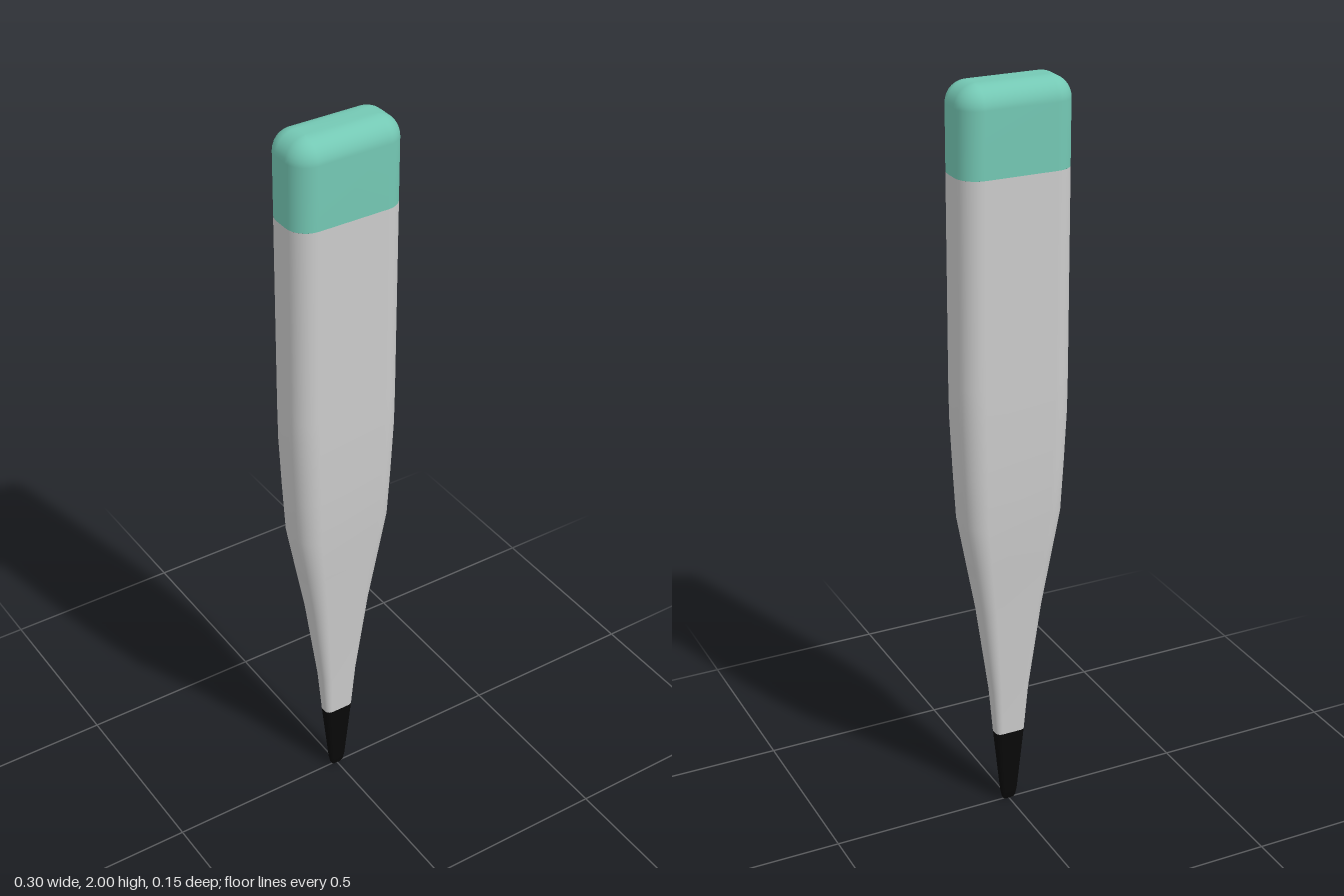
import * as THREE from 'three';

const CORNER_STEPS = 8;

// Rounded-rectangle ring at height y with half width w, half depth d, corner radius r
function ring(y, w, d, r) {
  const points = [];
  for (let q = 0; q < 4; q++) {
    const sx = q === 0 || q === 3 ? 1 : -1;
    const sz = q < 2 ? 1 : -1;
    for (let i = 0; i <= CORNER_STEPS; i++) {
      const a = (q + i / CORNER_STEPS) * Math.PI / 2;
      points.push(sx * (w - r) + r * Math.cos(a), y, sz * (d - r) + r * Math.sin(a));
    }
  }
  return points;
}

// Skin a list of sections, ordered from bottom to top
function loft(name, color, sections) {
  const n = 4 * (CORNER_STEPS + 1);
  const index = [];
  for (let s = 0; s < sections.length - 1; s++) {
    for (let j = 0; j < n; j++) {
      const a = s * n + j, b = s * n + (j + 1) % n;
      index.push(a, a + n, b, b, a + n, b + n);
    }
  }
  const geometry = new THREE.BufferGeometry();
  const positions = sections.flatMap(([y, w, d, r = d * 0.74]) => ring(y, w, d, r));
  geometry.setAttribute('position', new THREE.Float32BufferAttribute(positions, 3));
  geometry.setIndex(index);
  geometry.computeVertexNormals();
  const mesh = new THREE.Mesh(geometry, new THREE.MeshStandardMaterial({ color }));
  mesh.name = name;
  return mesh;
}

export function createModel() {
  const group = new THREE.Group();
  group.name = 'thermometer';

  // Dark sensing tip, closed at the bottom
  group.add(loft('sensorTip', 0x080808, [
    [0, 0, 0], [0, 0.014, 0.004], [0.008, 0.019, 0.007], [0.03, 0.023, 0.011],
    [0.1, 0.03, 0.015], [0.22, 0.042, 0.021],
  ]));

  // Tapered grey body
  group.add(loft('body', 0xcccccc, [
    [0.22, 0.042, 0.021], [0.35, 0.053, 0.028], [0.6, 0.087, 0.044], [0.74, 0.112, 0.055],
    [0.87, 0.135, 0.065], [1.0, 0.142, 0.07], [1.15, 0.149, 0.0735], [1.25, 0.15, 0.074],
    [1.78, 0.15, 0.074],
  ]));

  // Coloured end cap with a rounded top edge
  const w = 0.15, d = 0.074, r = 0.055;
  const cap = [[1.78, w, d, r]];
  for (let i = 0; i <= 8; i++) {
    const a = i / 8 * Math.PI / 2;
    const inset = r * (1 - Math.cos(a));
    cap.push([2 - r + r * Math.sin(a), w - inset, d - inset, r - inset]);
  }
  cap.push([2, 0, 0, 0]);
  group.add(loft('endCap', 0x74c8b4, cap));

  return group;
}
